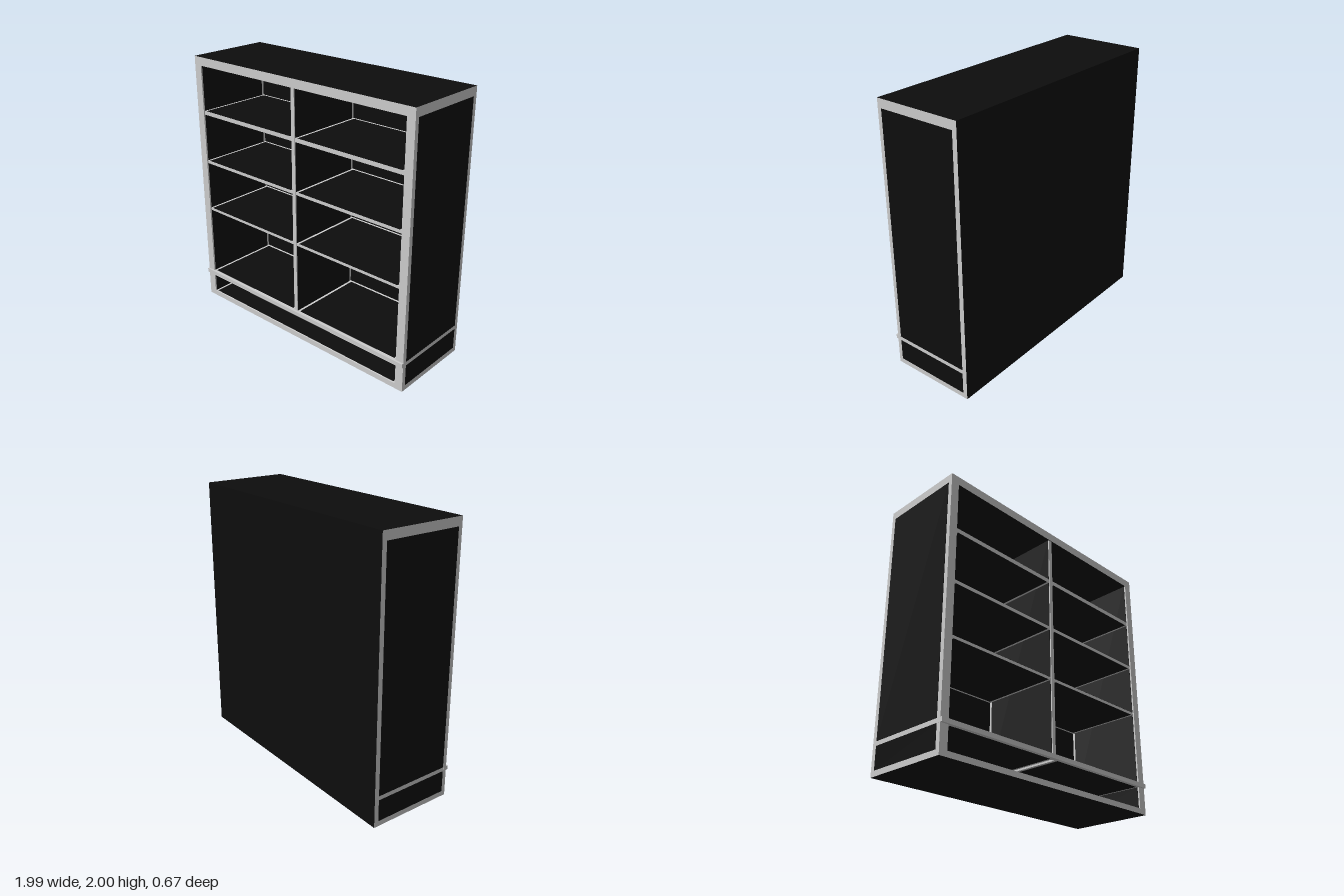
import * as THREE from 'three';

const W = 0.995, H = 2, BACK = -0.335, FRONT = 0.322;
const INNER = 0.932, REAR = -0.3, TOP = 1.936, FLOOR = 0.04;

export function createModel() {
  const group = new THREE.Group();
  const edge = new THREE.MeshStandardMaterial({ color: 0xcccccc });
  edge.name = 'light grey edging';
  const panel = new THREE.MeshStandardMaterial({ color: 0x0d0d0d });
  panel.name = 'black panel';

  // Box given by its limits; blackFaces lists side indices (+x -x +y -y +z -z) in panel colour
  function board(name, x0, x1, y0, y1, z0, z1, blackFaces = []) {
    const geo = new THREE.BoxGeometry(x1 - x0, y1 - y0, z1 - z0);
    const mats = blackFaces.length
      ? [0, 1, 2, 3, 4, 5].map(i => (blackFaces.includes(i) ? panel : edge))
      : edge;
    const mesh = new THREE.Mesh(geo, mats);
    mesh.position.set((x0 + x1) / 2, (y0 + y1) / 2, (z0 + z1) / 2);
    mesh.name = name;
    group.add(mesh);
  }
  const ALL = [0, 1, 2, 3, 4, 5];
  const T = 0.002; // plate thickness

  // Carcass
  board('backBoard', -W, W, 0, H, BACK, REAR, [2, 3, 4, 5]);
  board('topBoard', -W, W, TOP, H, REAR, FRONT, [2, 3]);
  board('bottomBoard', -W, W, 0, FLOOR, REAR, FRONT, [3]);
  for (const s of [-1, 1]) {
    const span = (a, b) => (s > 0 ? [a, b] : [-b, -a]);
    board('sideWall', ...span(INNER, W), FLOOR, TOP, REAR, FRONT);
    // Inset panels on the outside and inside of each wall
    for (const [y0, y1] of [[FLOOR, 0.2], [0.232, TOP]]) {
      board('outerSidePanel', ...span(W, W + T), y0, y1, REAR, 0.29, ALL);
      board('innerSidePanel', ...span(INNER - T, INNER), y0, y1, REAR + 0.02, 0.31, ALL);
    }
  }

  // Base compartment floor and projecting ledge
  board('baseFloorPanel', -INNER + 0.02, INNER - 0.02, FLOOR, FLOOR + T, REAR + 0.02, 0.31, ALL);
  board('ledge', -W - 0.001, W + 0.001, 0.2, 0.232, 0.3, 0.337);

  // Central divider
  const DL = -0.018, DR = 0.012;
  board('divider', DL, DR, 0.232, TOP, REAR, FRONT - 0.004);
  board('dividerPanel', DL - T, DL, 0.232, TOP, REAR + 0.02, 0.31, ALL);
  board('dividerPanel', DR, DR + T, 0.232, TOP, REAR + 0.02, 0.31, ALL);

  // Shelves in both bays, with inset panels above and below
  const shelves = [[0.2, 0.232], [0.775, 0.795], [1.171, 1.194], [1.561, 1.591]];
  for (const [x0, x1] of [[-INNER, DL], [DR, INNER]]) {
    for (const [y0, y1] of shelves) {
      board('shelf', x0, x1, y0, y1, REAR, 0.312);
      for (const y of [y0 - T, y1])
        board('shelfPanel', x0 + 0.022, x1 - 0.022, y, y + T, REAR + 0.02, 0.31, ALL);
    }
  }
  return group;
}
